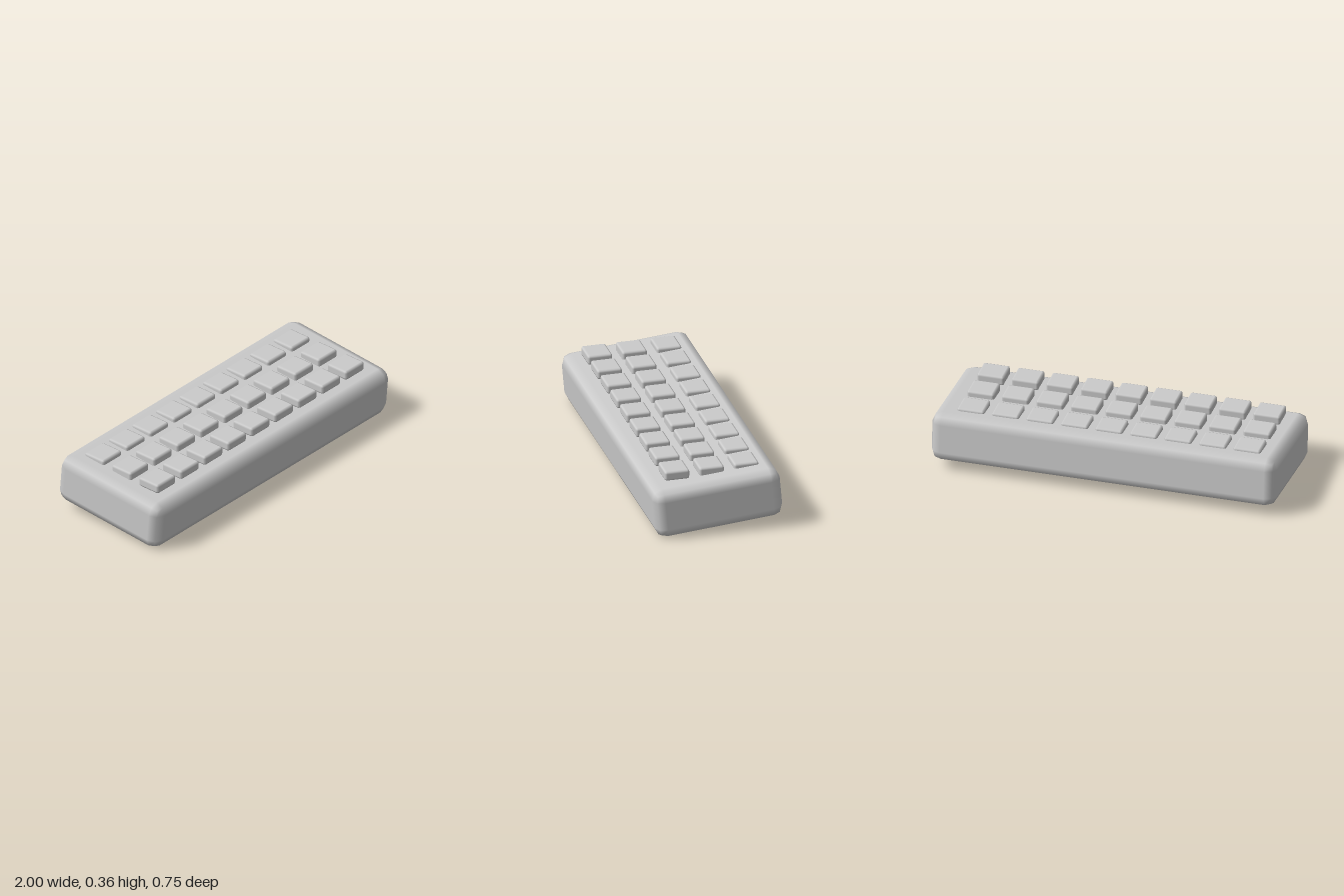
import * as THREE from 'three';
import { RoundedBoxGeometry } from 'three/addons/geometries/RoundedBoxGeometry.js';

export function createModel() {
  const model = new THREE.Group();
  model.name = 'keyboard';
  const material = new THREE.MeshStandardMaterial({ color: 0xcccccc });

  // Thick soft-edged case, tilted towards the front
  const body = new THREE.Mesh(new RoundedBoxGeometry(2, 0.29, 0.739, 1, 0.0625), material);
  body.name = 'caseBody';
  body.position.y = 0.172;
  body.rotation.x = THREE.MathUtils.degToRad(5);
  model.add(body);

  // Level keycaps in three rows of nine, the back row sunk into the case
  const keys = new THREE.Group();
  keys.name = 'keys';
  const keyGeometry = new RoundedBoxGeometry(0.156, 0.056, 0.143, 1, 0.014);
  for (let row = 0; row < 3; row++) {
    for (let col = 0; col < 9; col++) {
      const key = new THREE.Mesh(keyGeometry, material);
      key.name = `keyRow${row + 1}Column${col + 1}`;
      key.position.set(-0.808 + col * 0.2, 0.328, 0.21 - row * 0.2);
      keys.add(key);
    }
  }
  model.add(keys);

  return model;
}
